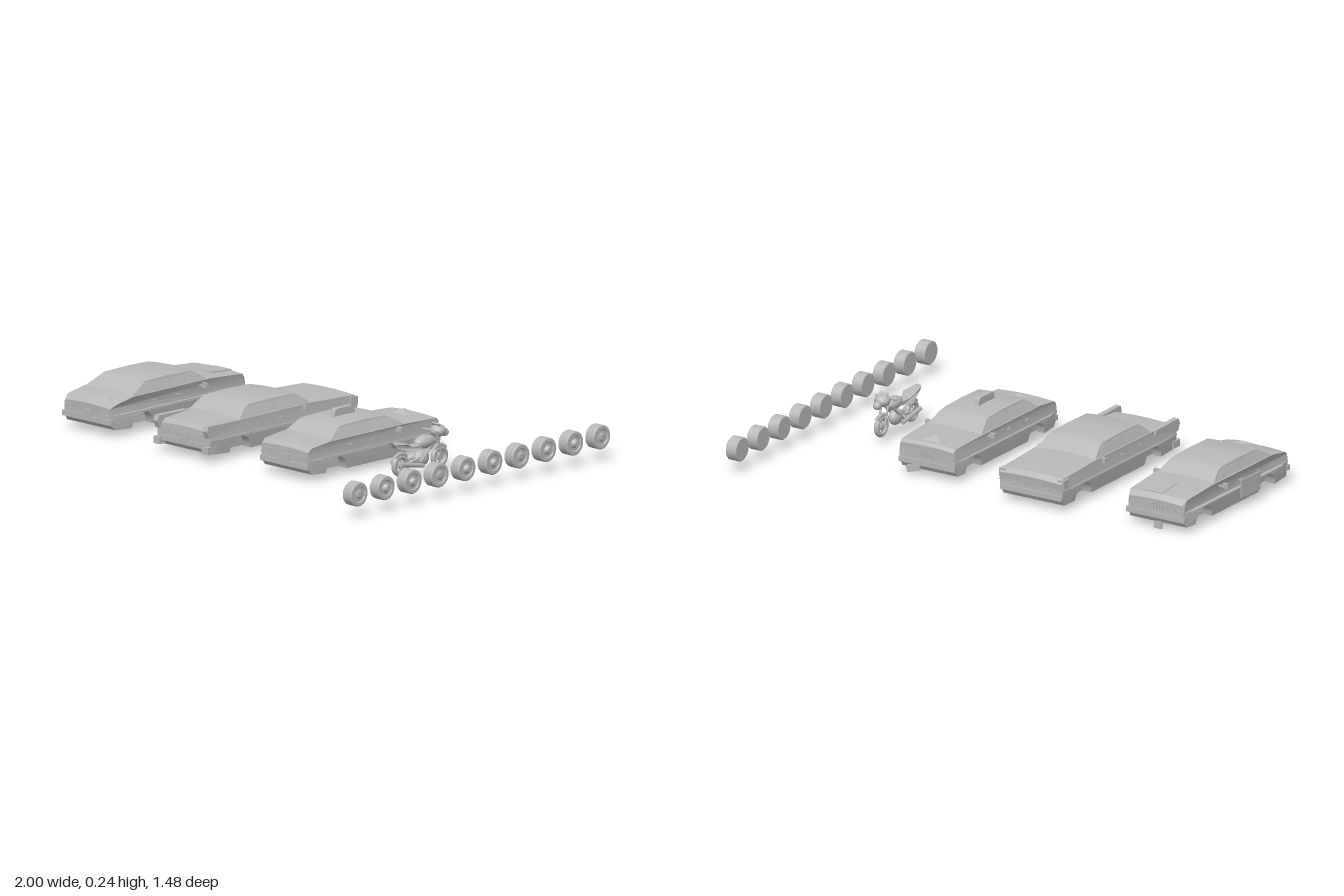
import * as THREE from 'three';
import { toCreasedNormals } from 'three/addons/utils/BufferGeometryUtils.js';

const grey = new THREE.MeshStandardMaterial({ color: 0xb8b8b8 });
grey.name = 'plain grey';

function add(parent, name, geo, x = 0, y = 0, z = 0) {
  const m = new THREE.Mesh(geo, grey);
  m.name = name;
  m.position.set(x, y, z);
  parent.add(m);
  return m;
}

const lerp = THREE.MathUtils.lerp;
const box = (w, h, d) => new THREE.BoxGeometry(w, h, d);

// Side profile of (z, y) points swept across x from n0 to n1, widened by a rule
function slab(points, n0, n1, half, crown = 0, low = 0, steps = 6) {
  const shape = new THREE.Shape(points.map(([z, y]) => new THREE.Vector2(-z, y)));
  const geo = new THREE.ExtrudeGeometry(shape, { depth: n1 - n0, steps, bevelEnabled: false });
  geo.translate(0, 0, n0).rotateY(Math.PI / 2);
  const p = geo.attributes.position;
  for (let i = 0; i < p.count; i++) {
    const n = p.getX(i), y = p.getY(i), z = p.getZ(i);
    p.setX(i, n * half(y, z));
    if (y > low) p.setY(i, y + crown * (1 - n * n));
  }
  return toCreasedNormals(geo, 0.5);
}

// Small folded sheet of bent bodywork
function fold(w, h, d) {
  const g = new THREE.ConeGeometry(1, 1, 4, 1);
  g.rotateY(Math.PI / 4).scale(w / 1.41, h, d / 1.41);
  return toCreasedNormals(g, 0.3);
}

function makeCar(c) {
  const car = new THREE.Group();
  car.name = c.name;
  car.position.x = c.x;
  const { front: f, rear: r, w, waist = 0.09 } = c;
  const ends = z => {
    const e = Math.max(0, 1 - Math.min(z - f, r - z) / 0.05);
    return 1 - c.taper * e * e;
  };
  const lowHalf = (y, z) => w * ends(z) * lerp(0.94, 1, Math.min(1, (y - 0.025) / (waist - 0.025)));
  const topHalf = (y, z) => w * ends(z) * lerp(1, 0.92, Math.max(0, (y - waist) / 0.07));
  const arch = zc => Array.from({ length: 11 }, (_, i) => {
    const a = Math.PI * (1 - i / 10);
    return [zc + 0.06 * Math.cos(a), 0.025 + 0.06 * Math.sin(a)];
  });

  // Lower body: plain middle and two flanks with wheel arches
  const tailUp = [[r - 0.02, 0.03], [r, 0.055], [r, waist]];
  const noseUp = [[f, waist], [f, 0.055], [f + 0.02, 0.025]];
  add(car, 'floor', slab([...noseUp, ...tailUp], -0.72, 0.72, lowHalf));
  const flank = [...noseUp, ...arch(c.arches[0]), ...arch(c.arches[1]), ...tailUp];
  add(car, 'rightFlank', slab(flank, -1, -0.72, lowHalf, 0, 0, 1));
  add(car, 'leftFlank', slab(flank, 0.72, 1, lowHalf, 0, 0, 1));

  // Bonnet, shoulders and boot
  add(car, 'upperBody', slab([[f, waist], ...c.deck, [r, waist]], -1, 1, topHalf, 0.006, waist + 0.02, 8));

  // Cabin
  const [z0, z1, z2, z3] = c.cabin;
  const cabHalf = y => lerp(w * 0.91, c.roofHalf, THREE.MathUtils.clamp((y - 0.145) / 0.05, 0, 1));
  add(car, 'cabin', slab([[z0, 0.145], [z1 - 0.03, 0.19], [z1, 0.197], [lerp(z1, z2, 0.5), 0.2],
    [z2, 0.197], [z2 + 0.015, 0.19], [z3, 0.145]], -1, 1, cabHalf, 0.006, 0.18, 8));

  // Side windows as thin plates
  const mid = lerp(z1, z2, 0.45);
  const frontWindow = [[z0 + 0.045, 0.155], [z1 - 0.012, 0.189], [mid - 0.006, 0.189], [mid - 0.006, 0.155]];
  const rearWindow = [[mid + 0.006, 0.155], [mid + 0.006, 0.189], [z2, 0.189], [z3 - 0.04, 0.155]];
  for (const win of [frontWindow, rearWindow])
    for (const s of [-1, 1])
      add(car, 'sideWindow', slab(win, s > 0 ? 0.99 : -1, s > 0 ? 1 : -0.99, y => cabHalf(y) + 0.002, 0, 0, 1));

  // Bumpers
  add(car, 'frontBumper', box(w * 1.86, 0.022, 0.02), 0, 0.06, f + 0.004);
  add(car, 'rearBumper', box(w * 1.86, 0.022, 0.02), 0, 0.062, r - 0.004);
  add(car, 'rearPlate', box(0.052, 0.03, 0.006), 0, 0.085, r + 0.004);

  // Grille and lamps
  for (let i = -3; i <= 3; i++) add(car, 'grilleBar', box(0.006, 0.026, 0.006), i * 0.014, 0.098, f);
  for (const s of [-1, 1]) {
    for (const k of [0.52, 0.74]) {
      const lamp = new THREE.CylinderGeometry(0.013, 0.013, 0.01, 14).rotateX(Math.PI / 2);
      add(car, 'headlight', lamp, s * w * k, 0.1, f + 0.004);
    }
    add(car, 'tailLight', box(0.05, 0.02, 0.008), s * w * 0.68, 0.1, r - 0.001);
    // Door mirrors, handles and trim
    add(car, 'mirror', box(0.024, 0.02, 0.012), s * c.mirror, 0.138, z0 + 0.055);
    add(car, 'mirrorArm', box(0.03, 0.006, 0.008), s * (c.mirror - 0.02), 0.134, z0 + 0.055);
    for (const z of [mid - 0.02, mid + 0.11]) add(car, 'doorHandle', box(0.006, 0.005, 0.02), s * w * 0.97, 0.122, z);
    add(car, 'sideTrim', box(0.005, 0.006, (r - f) * 0.84), s * w, waist, (f + r) / 2);
  }
  return car;
}

// Spare wheel with rim and hub, axle along x
function makeWheel(z, hub) {
  const wheel = new THREE.Group();
  wheel.name = 'wheel';
  wheel.position.set(0.965, 0.098, z);
  const pts = [[0, -0.025], [0.046, -0.025], [0.05, -0.021], [0.05, 0.021], [0.046, 0.025],
    [0.034, 0.025], [0.03, 0.021], [0, 0.021]].map(([a, b]) => new THREE.Vector2(a, b));
  const tyre = toCreasedNormals(new THREE.LatheGeometry(pts, 24), 0.6).rotateZ(-Math.PI / 2);
  add(wheel, 'tyre', tyre);
  const cap = new THREE.CylinderGeometry(0.01, 0.02, hub, 14).rotateZ(-Math.PI / 2);
  add(wheel, 'hubCap', cap, 0.021 + hub / 2);
  return wheel;
}

function rod(parent, name, a, b, r) {
  const p = new THREE.Vector3(...a), q = new THREE.Vector3(...b);
  const m = add(parent, name, new THREE.CylinderGeometry(r, r, p.distanceTo(q), 8));
  m.position.copy(p).add(q).multiplyScalar(0.5);
  m.quaternion.setFromUnitVectors(new THREE.Vector3(0, 1, 0), q.sub(p).normalize());
}

function makeMotorcycle() {
  const bike = new THREE.Group();
  bike.name = 'motorcycle';
  bike.position.x = 0.67;
  // Wheels, discs and mudguards
  for (const z of [-0.085, 0.138]) {
    const tyre = new THREE.TorusGeometry(0.035, 0.011, 10, 24).rotateY(Math.PI / 2);
    add(bike, 'bikeTyre', tyre, 0, 0.07, z);
    add(bike, 'bikeRim', new THREE.CylinderGeometry(0.014, 0.014, 0.02, 12).rotateZ(Math.PI / 2), 0, 0.07, z);
    for (let i = 0; i < 3; i++) {
      const spoke = add(bike, 'spoke', box(0.006, 0.066, 0.007), 0, 0.07, z);
      spoke.rotation.x = i * Math.PI / 3;
    }
    const guard = new THREE.TorusGeometry(0.044, 0.009, 6, 12, 1.7).rotateZ(0.7).rotateY(Math.PI / 2);
    add(bike, 'mudguard', guard, 0, 0.073, z);
  }
  // Fork, swing arm, exhausts and handlebar
  for (const s of [-1, 1]) {
    rod(bike, 'fork', [s * 0.016, 0.07, -0.085], [s * 0.016, 0.178, -0.052], 0.005);
    rod(bike, 'swingArm', [s * 0.016, 0.07, 0.138], [s * 0.016, 0.085, 0.05], 0.006);
    rod(bike, 'exhaust', [s * 0.025, 0.055, 0.03], [s * 0.028, 0.08, 0.16], 0.009);
    rod(bike, 'handlebar', [0, 0.18, -0.055], [s * 0.052, 0.182, -0.045], 0.005);
    rod(bike, 'frame', [s * 0.016, 0.15, -0.045], [s * 0.022, 0.07, 0.045], 0.006);
  }
  const round = (name, x, y, z, sx, sy, sz) =>
    add(bike, name, new THREE.SphereGeometry(1, 16, 10).scale(sx, sy, sz), x, y, z);
  round('engine', 0, 0.08, 0.02, 0.026, 0.034, 0.04);
  round('tank', 0, 0.145, 0, 0.03, 0.028, 0.055);
  round('fairing', 0, 0.178, -0.078, 0.034, 0.026, 0.034);
  round('headlamp', 0, 0.165, -0.115, 0.017, 0.017, 0.018);
  const screen = add(bike, 'screen', box(0.04, 0.03, 0.006), 0, 0.197, -0.073);
  screen.rotation.x = 0.6;
  // Seat and tail
  add(bike, 'seat', slab([[0.03, 0.125], [0.04, 0.14], [0.09, 0.14], [0.12, 0.155], [0.185, 0.165],
    [0.175, 0.148], [0.1, 0.12]], -1, 1, (y, z) => (z < 0.1 ? 0.02 : z < 0.15 ? 0.03 : 0.016), 0.006, 0.13));
  return bike;
}

export function createModel() {
  const model = new THREE.Group();
  model.name = 'vehicleSet';

  // Rounded saloon with a hanging front plate and a door ajar
  const saloon = makeCar({ name: 'saloon', x: -0.82, front: -0.345, rear: 0.42, w: 0.151, taper: 0.12,
    arches: [-0.21, 0.25], cabin: [-0.14, -0.04, 0.21, 0.315], roofHalf: 0.116, mirror: 0.165,
    deck: [[-0.347, 0.12], [-0.325, 0.14], [-0.14, 0.154], [0.3, 0.152], [0.39, 0.136], [0.422, 0.118]] });
  add(saloon, 'hangingPlate', box(0.035, 0.03, 0.006), -0.005, 0.015, -0.335);
  add(saloon, 'bonnetPanel', box(0.09, 0.006, 0.12), 0.03, 0.15, -0.265).rotation.x = -0.07;
  add(saloon, 'bootFold', fold(0.14, 0.02, 0.07), 0.05, 0.146, 0.365);
  add(saloon, 'ajarDoor', box(0.006, 0.075, 0.13), -0.157, 0.085, 0.11).rotation.y = -0.05;
  model.add(saloon);

  // Long finned saloon
  const finned = makeCar({ name: 'finnedCar', x: -0.254, front: -0.395, rear: 0.44, w: 0.157, taper: 0.03,
    arches: [-0.24, 0.27], cabin: [-0.15, -0.05, 0.2, 0.27], roofHalf: 0.122, mirror: 0.15,
    deck: [[-0.4, 0.12], [-0.385, 0.14], [-0.15, 0.15], [0.27, 0.148], [0.42, 0.135], [0.438, 0.12]] });
  for (const s of [-1, 1]) {
    const fin = [[0.28, 0.13], [0.29, 0.15], [0.455, 0.152], [0.463, 0.13], [0.45, 0.1]];
    add(finned, 'tailFin', slab(fin, s > 0 ? 0.84 : -1, s > 0 ? 1 : -0.84, () => 0.152, 0, 0, 1));
    add(finned, 'bumperEnd', box(0.035, 0.03, 0.05), s * 0.137, 0.05, 0.435);
    add(finned, 'wingCorner', box(0.03, 0.035, 0.04), s * 0.14, 0.118, -0.375);
  }
  model.add(finned);

  // Angular taxi with roof sign and crumpled panels
  const taxi = makeCar({ name: 'taxi', x: 0.282, front: -0.34, rear: 0.405, w: 0.145, taper: 0.07,
    arches: [-0.21, 0.25], cabin: [-0.15, -0.045, 0.2, 0.28], roofHalf: 0.108, mirror: 0.155,
    deck: [[-0.342, 0.13], [-0.33, 0.142], [-0.15, 0.15], [0.28, 0.15], [0.385, 0.138], [0.405, 0.122]] });
  add(taxi, 'roofSign', slab([[0.012, 0.2], [0.02, 0.23], [0.028, 0.236], [0.115, 0.236], [0.125, 0.23],
    [0.135, 0.2]], -1, 1, () => 0.012, 0, 0, 1), -0.003);
  add(taxi, 'bonnetFold', fold(0.12, 0.028, 0.09), 0, 0.157, -0.275);
  add(taxi, 'bootFold', fold(0.17, 0.02, 0.08), 0, 0.147, 0.345);
  add(taxi, 'droopingBumper', box(0.06, 0.03, 0.012), 0.07, 0.03, -0.335).rotation.z = -0.3;
  model.add(taxi);

  model.add(makeMotorcycle());

  // Row of spare wheels
  for (let i = 0; i < 10; i++) model.add(makeWheel(-0.692 + i * 0.1538, i % 3 === 0 ? 0.005 : 0.012));
  return model;
}
